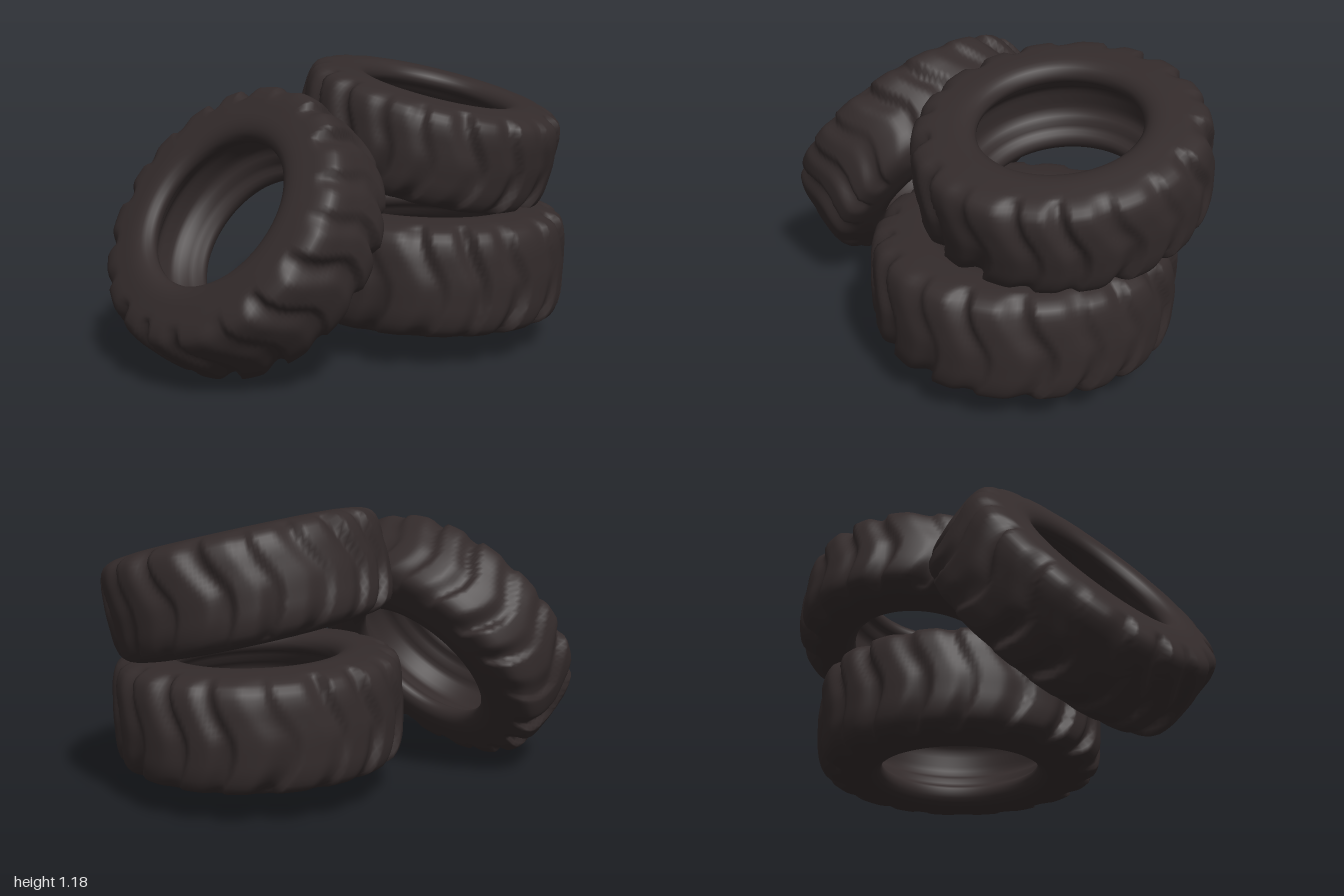
import * as THREE from 'three';

const SEGMENTS = 240, RINGS = 64, LUGS = 18;
const rubber = new THREE.MeshStandardMaterial({ color: 0x332b2b });
rubber.name = 'darkRubber';

// Half of the tyre section as [radius, height]: tread, shoulder, sidewall, bead lip, inner cavity
const half = [
  [0.598, 0.06], [0.593, 0.13], [0.574, 0.183], [0.53, 0.207], [0.46, 0.218], [0.4, 0.222],
  [0.362, 0.214], [0.337, 0.195], [0.327, 0.168], [0.335, 0.142], [0.37, 0.125], [0.385, 0.09],
  [0.415, 0.06],
];
const section = [
  [0.6, 0], ...half, [0.42, 0], ...half.slice().reverse().map(([r, y]) => [r, -y]),
];
const curve = new THREE.CatmullRomCurve3(
  section.map(([r, y]) => new THREE.Vector3(r, y, 0)), true, 'centripetal');

const smooth = THREE.MathUtils.smoothstep;

// Depth of the chevron groove, 0 on a lug and 1 in the groove bottom
function groove(theta, v, seed) {
  const chevron = 3 * Math.sqrt(v * v + 0.02) + 0.7 * Math.sin(v * 3);
  const wobble = 0.5 * Math.sin(theta * 3 + seed) + 0.35 * Math.sin(theta * 7 + seed * 2);
  const t = (LUGS * theta + chevron + wobble) / (2 * Math.PI);
  const f = t - Math.floor(t);
  // steep wall on one side of each groove, softer slope on the other
  const cut = smooth(f, 0.4, 0.78) * (1 - smooth(f, 0.87, 0.98));
  // uneven wear around the tyre
  const wear = 0.7 + 0.3 * Math.sin(theta * 5 + v * 2 + seed * 3);
  return cut * wear * (0.6 + 0.4 * Math.abs(v));
}

// Revolve the section and press the tread grooves into it
function tyreGeometry(seed) {
  const pts = curve.getSpacedPoints(RINGS).slice(0, RINGS);
  const positions = [], index = [];
  for (let i = 0; i < SEGMENTS; i++) {
    const theta = (i / SEGMENTS) * Math.PI * 2;
    for (let j = 0; j < RINGS; j++) {
      const p = pts[j];
      const g = groove(theta, p.y / 0.22, seed) * smooth(p.x, 0.485, 0.57);
      const r = p.x - 0.043 * g;
      const y = p.y * (1 - 0.06 * g);
      positions.push(r * Math.sin(theta), y, r * Math.cos(theta));
      const i2 = (i + 1) % SEGMENTS, j2 = (j + 1) % RINGS;
      const a = i * RINGS + j, b = i2 * RINGS + j, c = i2 * RINGS + j2, d = i * RINGS + j2;
      index.push(a, b, c, a, c, d);
    }
  }
  const geo = new THREE.BufferGeometry();
  geo.setAttribute('position', new THREE.Float32BufferAttribute(positions, 3));
  geo.setIndex(index);
  geo.computeVertexNormals();
  return geo;
}

export function createModel() {
  const model = new THREE.Group();
  model.name = 'tyrePile';
  const up = new THREE.Vector3(0, 1, 0);

  // centre, axle direction, scale (tyres are pressed slightly oval)
  const tyres = [
    ['bottomTyre', [0.357, 0.365, 0], [0.027, 1, 0], [1.0, 1.07, 1.035]],
    ['topTyre', [0.43, 0.885, -0.125], [0.175, 1, 0.17], [0.95, 0.97, 0.975]],
    ['leaningTyre', [-0.523, 0.57, 0.12], [-0.745, 0.59, 0.3], [0.98, 0.93, 0.98]],
  ];
  tyres.forEach(([name, centre, axle, scale], k) => {
    const mesh = new THREE.Mesh(tyreGeometry(k * 1.9 + 0.5), rubber);
    mesh.name = name;
    mesh.position.set(...centre);
    mesh.quaternion.setFromUnitVectors(up, new THREE.Vector3(...axle).normalize());
    mesh.scale.set(...scale);
    model.add(mesh);
  });
  return model;
}
